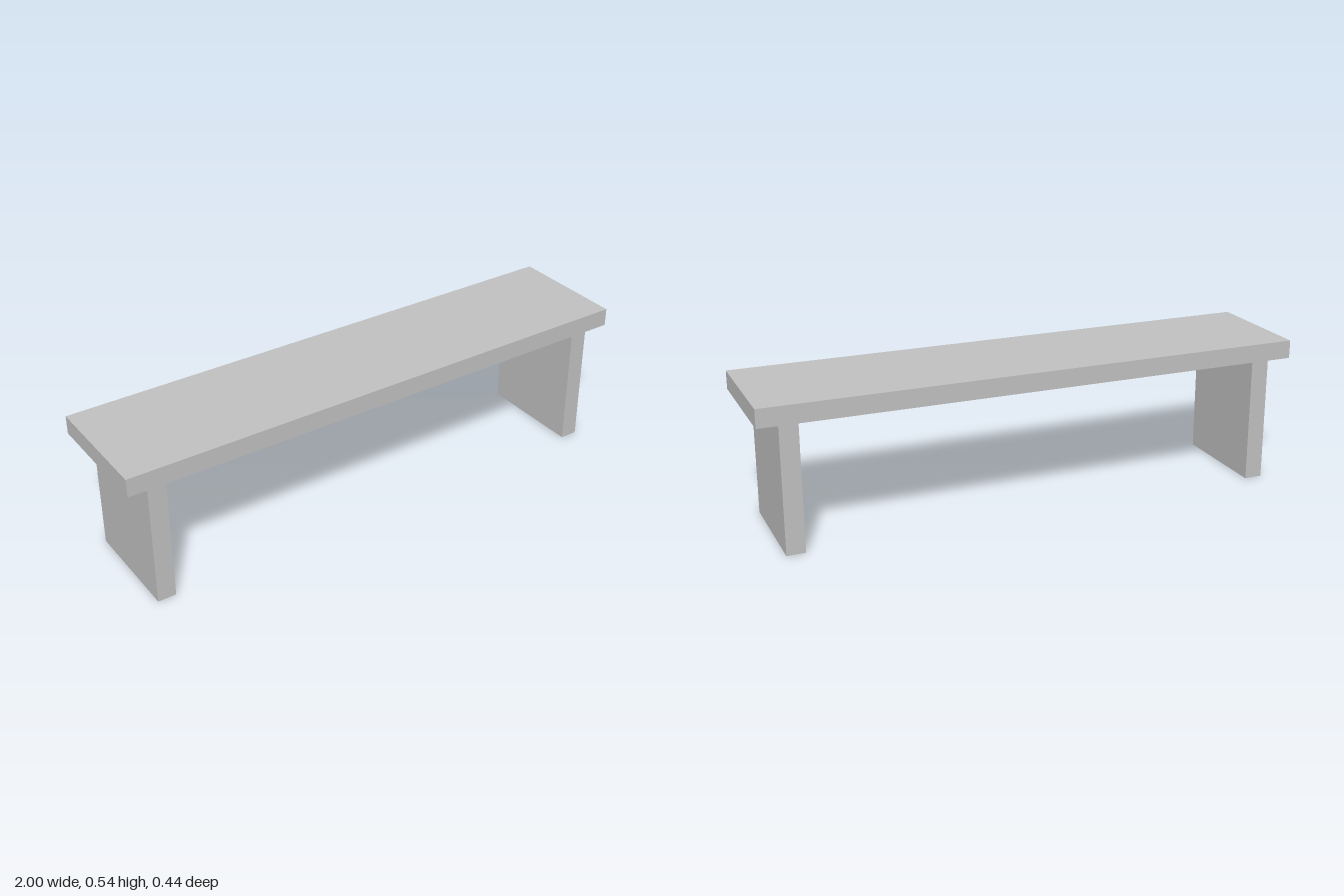
import * as THREE from 'three';

const SEAT = { width: 2, height: 0.067, depth: 0.444 };
const LEG = { width: 0.067, height: 0.468, depth: 0.4, x: 0.889 };

export function createModel() {
  const bench = new THREE.Group();
  bench.name = 'bench';
  const grey = new THREE.MeshStandardMaterial({ color: 0xc0c0c0 });
  grey.name = 'light grey';

  // Box standing on the given base height
  const addBox = (name, { width, height, depth }, x, base) => {
    const mesh = new THREE.Mesh(new THREE.BoxGeometry(width, height, depth), grey);
    mesh.name = name;
    mesh.position.set(x, base + height / 2, 0);
    bench.add(mesh);
  };

  // Seat slab resting on two panel legs
  addBox('seat', SEAT, 0, LEG.height);
  addBox('leftLeg', LEG, LEG.x, 0);
  addBox('rightLeg', LEG, -LEG.x, 0);

  return bench;
}
